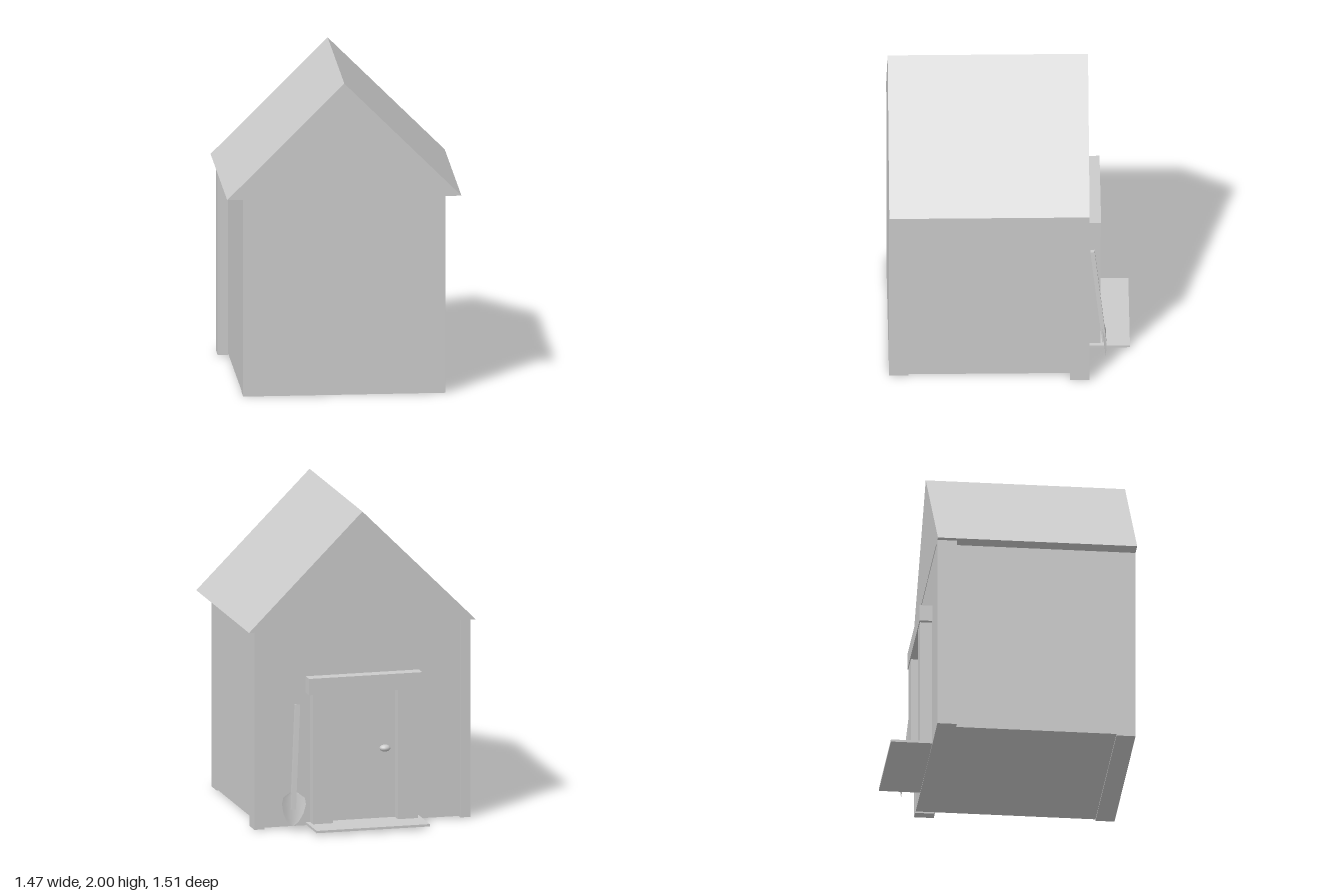
import * as THREE from 'three';

const grey = new THREE.MeshStandardMaterial({ color: 0xcccccc, flatShading: true });
const smoothGrey = new THREE.MeshStandardMaterial({ color: 0xcccccc });
const thinGrey = new THREE.MeshStandardMaterial({ color: 0xcccccc, side: THREE.DoubleSide });

const FRONT = 0.755, BACK = -0.495, EAVE = 1.265, WALL = 0.635;

// Box given by its lower and upper corners
function box(parent, name, [x0, y0, z0], [x1, y1, z1]) {
  const mesh = new THREE.Mesh(new THREE.BoxGeometry(x1 - x0, y1 - y0, z1 - z0), grey);
  mesh.position.set((x0 + x1) / 2, (y0 + y1) / 2, (z0 + z1) / 2);
  mesh.name = name;
  parent.add(mesh);
}

function createRoof() {
  const gable = new THREE.Shape([
    new THREE.Vector2(-0.735, EAVE), new THREE.Vector2(0.735, EAVE), new THREE.Vector2(0, 2),
  ]);
  const geometry = new THREE.ExtrudeGeometry(gable, { depth: FRONT + 0.498, bevelEnabled: false });
  geometry.translate(0, 0, -0.498);
  const roof = new THREE.Mesh(geometry, grey);
  roof.name = 'roof';
  return roof;
}

function createDoorway() {
  const doorway = new THREE.Group();
  doorway.name = 'doorway';
  box(doorway, 'doorPanel', [-0.21, 0.03, -0.499], [0.21, 0.86, BACK]);
  box(doorway, 'doorstep', [-0.367, 0.015, -0.755], [0.367, 0.03, BACK]);
  box(doorway, 'lintel', [-0.367, 0.86, -0.575], [0.367, 0.965, BACK]);
  box(doorway, 'leftJamb', [0.21, 0.03, -0.57], [0.34, 0.86, BACK]);
  box(doorway, 'rightJamb', [-0.34, 0.03, -0.57], [-0.21, 0.86, BACK]);
  const knob = new THREE.Mesh(new THREE.SphereGeometry(1, 16, 10), smoothGrey);
  knob.scale.set(0.035, 0.022, 0.03);
  knob.position.set(-0.14, 0.48, -0.52);
  knob.name = 'doorKnob';
  doorway.add(knob);
  return doorway;
}

// Spade leaning on the back wall, built upright with its tip at the origin
function createSpade() {
  const spade = new THREE.Group();
  spade.name = 'spade';
  box(spade, 'spadeHandle', [-0.015, 0.105, -0.013], [0.015, 0.765, 0.013]);

  // Half width of the blade at each height, bent outwards at the edges
  const rows = [[0, 0.008], [0.03, 0.04], [0.08, 0.065], [0.14, 0.078], [0.18, 0.07], [0.21, 0.025]];
  const across = 6, positions = [], indices = [];
  rows.forEach(([y, half], r) => {
    for (let i = 0; i <= across; i++) {
      const x = half * (2 * i / across - 1);
      positions.push(x, y, 0.004 - 3.2 * x * x);
      if (r && i) {
        const a = r * (across + 1) + i, b = a - across - 1;
        indices.push(b - 1, b, a, b - 1, a, a - 1);
      }
    }
  });
  const geometry = new THREE.BufferGeometry();
  geometry.setAttribute('position', new THREE.Float32BufferAttribute(positions, 3));
  geometry.setIndex(indices);
  geometry.computeVertexNormals();
  const blade = new THREE.Mesh(geometry, thinGrey);
  blade.name = 'spadeBlade';
  spade.add(blade);

  spade.position.set(0.483, 0.035, -0.605);
  const lean = new THREE.Vector3(-0.055, 0.76, 0.085).normalize();
  spade.quaternion.setFromUnitVectors(new THREE.Vector3(0, 1, 0), lean);
  return spade;
}

export function createModel() {
  const shed = new THREE.Group();
  shed.name = 'shed';

  // Walls: the front wall reaches the ground, the rest sits just above it
  box(shed, 'frontWall', [-WALL, 0, 0.635], [WALL, EAVE, FRONT]);
  box(shed, 'shedBody', [-WALL, 0.01, BACK], [WALL, EAVE, 0.635]);

  // Rear corner posts stand out from the side walls
  box(shed, 'leftRearPost', [WALL, 0, -0.498], [0.7, EAVE, -0.375]);
  box(shed, 'rightRearPost', [-0.7, 0, -0.498], [-WALL, EAVE, -0.375]);

  shed.add(createRoof(), createDoorway(), createSpade());
  return shed;
}
